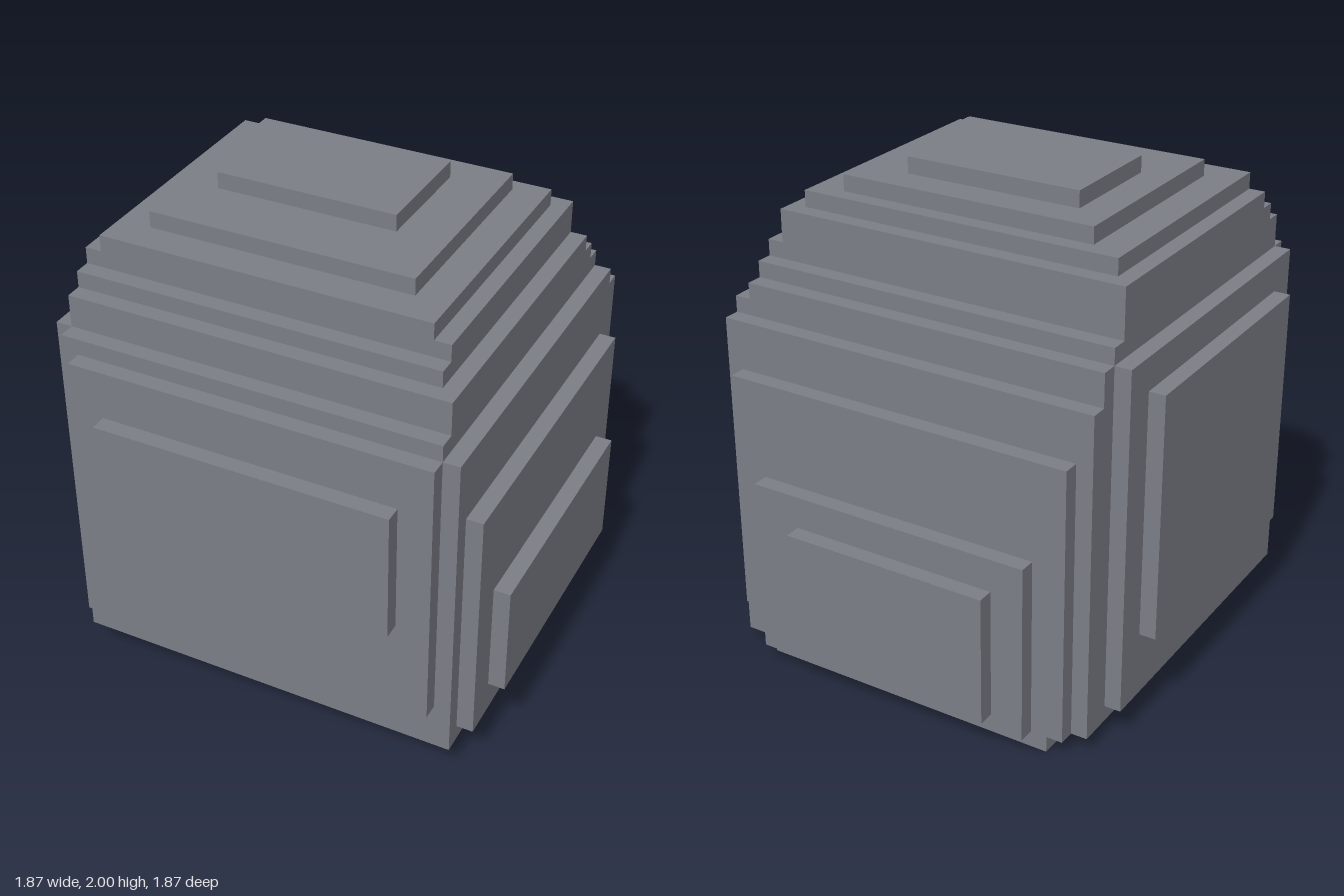
import * as THREE from 'three';

// One block of the stepped boulder, in units
const UNIT = 1 / 15;

// Side limits by height: each pair is [top of step, distance reached]
const LEFT = [[1, 9], [2, 11], [3, 12], [5, 13], [12, 14], [18, 13], [22, 12], [25, 11], [27, 10], [28, 9], [29, 7], [30, 4]];
const RIGHT = [[1, 10], [2, 12], [6, 13], [21, 14], [23, 13], [27, 12], [28, 11], [29, 9], [30, 7]];
const FRONT = [[1, 10], [2, 11], [5, 12], [11, 13], [19, 14], [22, 13], [23, 12], [25, 11], [26, 10], [28, 9], [29, 7], [30, 3]];
const BACK = [[1, 12], [2, 13], [10, 14], [12, 13], [18, 12], [21, 11], [23, 10], [24, 9], [27, 8], [28, 7], [29, 6], [30, 4]];

// Stepped corners of the plan: [x, z] distances of the convex corners
const FRONT_CORNER = [[14, 9], [13, 11], [12, 12], [11, 13], [9, 14]];
const BACK_LEFT_CORNER = [[14, 7], [13, 9], [12, 11], [11, 12], [9, 13], [6, 14]];
const BACK_RIGHT_CORNER = [[14, 7], [13, 9], [12, 11], [11, 12], [9, 13], [7, 14]];

const reach = (steps, y) => steps.find(([top]) => y < top)[1];

// Staircase from the side towards the front or back, with inner corners added
function staircase(corner, sx, sz) {
  const points = [];
  corner.forEach(([x, z], i) => {
    if (i) points.push([sx * x, sz * corner[i - 1][1]]);
    points.push([sx * x, sz * z]);
  });
  return points;
}

const PLAN = [
  ...staircase(FRONT_CORNER, 1, 1),
  ...staircase(FRONT_CORNER, -1, 1).reverse(),
  ...staircase(BACK_RIGHT_CORNER, -1, -1),
  ...staircase(BACK_LEFT_CORNER, 1, -1).reverse(),
];

// Horizontal layer: the plan trimmed to the limits at this height
function layerGeometry(y0, y1) {
  const [l, r, f, b] = [LEFT, RIGHT, FRONT, BACK].map((steps) => reach(steps, y0));
  const points = PLAN
    .map(([x, z]) => new THREE.Vector2(
      THREE.MathUtils.clamp(x, -r, l) * UNIT,
      -THREE.MathUtils.clamp(z, -b, f) * UNIT))
    .filter((p, i, all) => !p.equals(all[(i + 1) % all.length]));
  const geometry = new THREE.ExtrudeGeometry(new THREE.Shape(points), {
    depth: (y1 - y0) * UNIT, bevelEnabled: false,
  });
  geometry.rotateX(-Math.PI / 2);
  geometry.translate(0, y0 * UNIT, 0);
  return geometry;
}

export function createModel() {
  const model = new THREE.Group();
  model.name = 'boulder';
  const stone = new THREE.MeshStandardMaterial({ color: 0x7b7e86 });
  stone.name = 'stone grey';

  // Layers between every height where a side steps in or out
  const tops = [...LEFT, ...RIGHT, ...FRONT, ...BACK].map(([top]) => top);
  const levels = [...new Set([0, ...tops])].sort((a, b) => a - b);
  for (let i = 0; i < levels.length - 1; i++) {
    const layer = new THREE.Mesh(layerGeometry(levels[i], levels[i + 1]), stone);
    layer.name = `stoneLayer${i + 1}`;
    model.add(layer);
  }
  return model;
}
